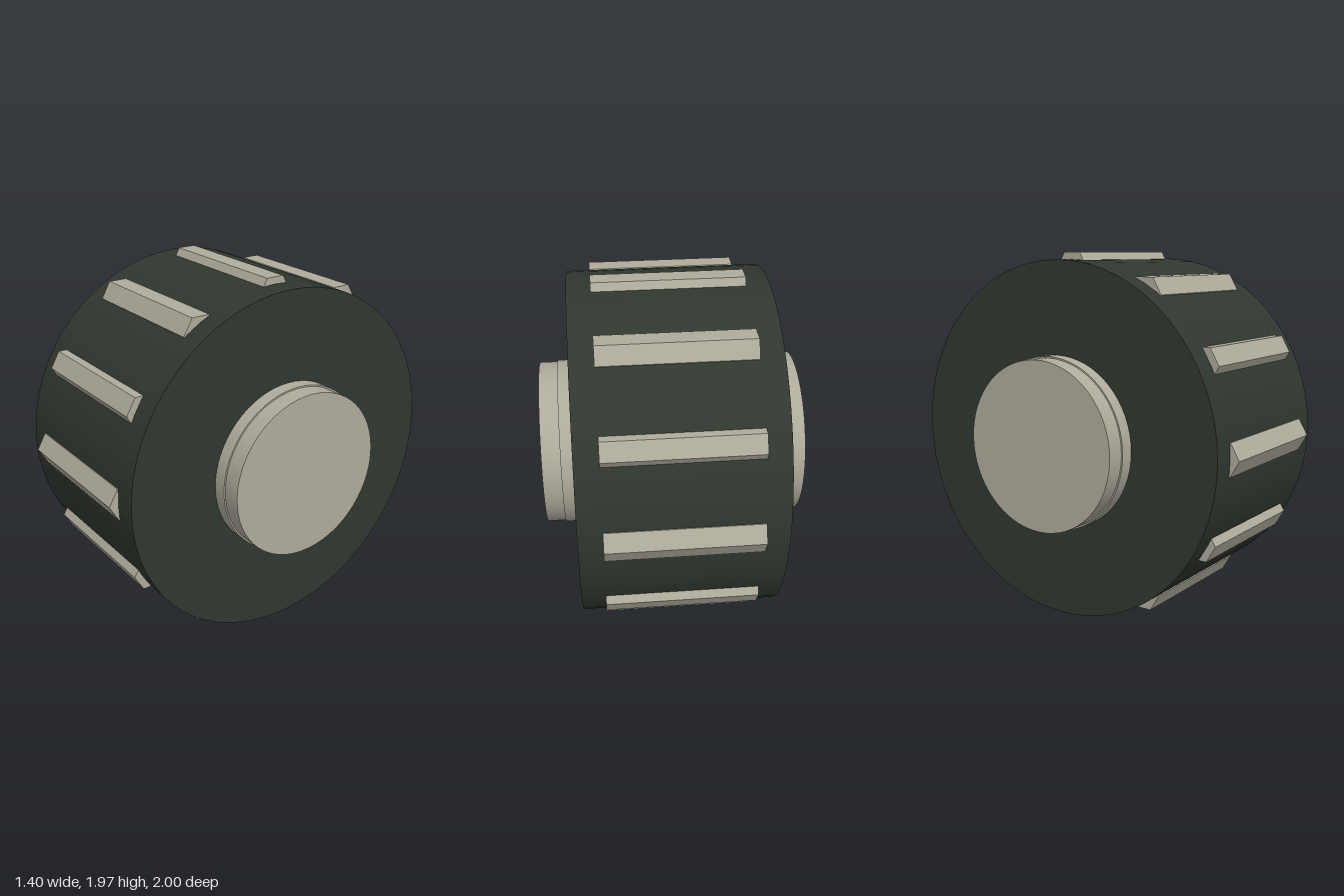
import * as THREE from 'three';
import { toCreasedNormals } from 'three/addons/utils/BufferGeometryUtils.js';

const CENTER_Y = 0.987;

// Cylinder lying along the x axis
function axle(radius, length, sides) {
  const geo = new THREE.CylinderGeometry(radius, radius, length, sides).rotateZ(Math.PI / 2);
  return toCreasedNormals(geo, 0.5);
}

export function createModel() {
  const rubber = new THREE.MeshStandardMaterial({ color: 0x2f372f });
  rubber.name = 'dark green rubber';
  const metal = new THREE.MeshStandardMaterial({ color: 0xafab9c });
  metal.name = 'warm grey metal';

  const model = new THREE.Group();
  model.name = 'wheel';

  function add(name, geometry, material, x, y, z) {
    const mesh = new THREE.Mesh(geometry, material);
    mesh.name = name;
    mesh.position.set(x, y, z);
    model.add(mesh);
  }

  // Tyre
  add('tyre', axle(0.95, 1.05, 64), rubber, 0, CENTER_Y, 0);

  // Stepped hub on both sides
  const hubGeo = axle(0.46, 0.1, 64);
  const capGeo = axle(0.452, 0.1, 64);
  for (const [side, sign] of [['left', 1], ['right', -1]]) {
    add(side + 'Hub', hubGeo, metal, sign * 0.55, CENTER_Y, 0);
    add(side + 'HubCap', capGeo, metal, sign * 0.65, CENTER_Y, 0);
  }

  // Twelve hexagonal tread bars, all keeping the same orientation
  const barGeo = axle(0.1, 0.8, 6);
  for (let i = 0; i < 12; i++) {
    const a = (i / 12) * Math.PI * 2;
    add('treadBar' + (i + 1), barGeo, metal, 0, CENTER_Y + 0.9 * Math.sin(a), 0.9 * Math.cos(a));
  }

  return model;
}
